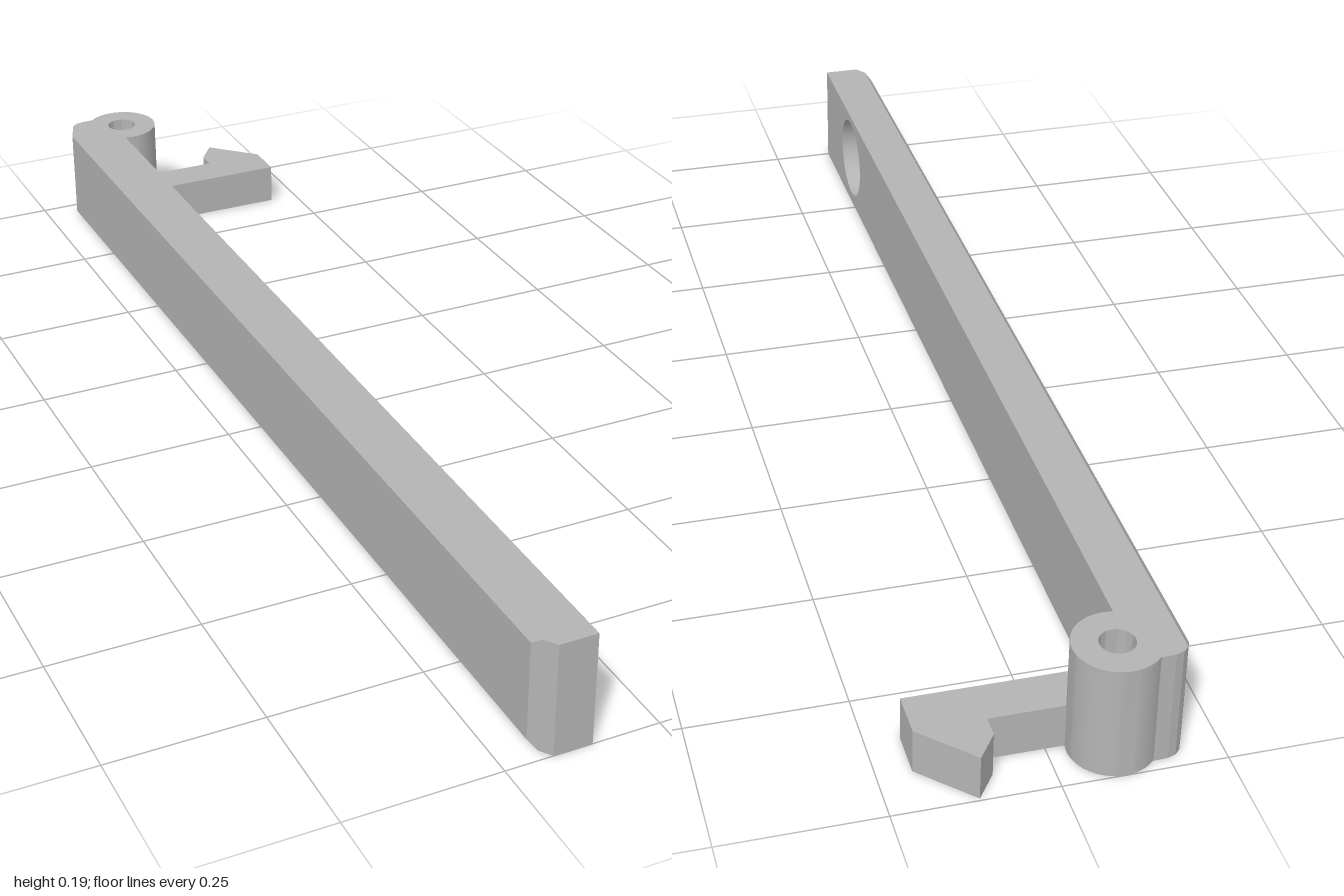
import * as THREE from 'three';
import { toCreasedNormals } from 'three/addons/utils/BufferGeometryUtils.js';

const H = 0.19, FACE_X = -0.11;
const BACK_Z = -0.87, FRONT_Z = 1;

// Shape from plan points [x, z]; sign -1 is seen from above, 1 from below
const planShape = (pts, sign = -1) =>
  new THREE.Shape(pts.map(([x, z]) => new THREE.Vector2(x, sign * z)));

// Extrude a plan shape upward from y = 0
const extrudeUp = (shape, height, curveSegments = 12) =>
  new THREE.ExtrudeGeometry(shape, { depth: height, bevelEnabled: false, curveSegments }).rotateX(-Math.PI / 2);

export function createModel() {
  const model = new THREE.Group();
  const grey = new THREE.MeshStandardMaterial({ color: 0xb4b4b4 });
  grey.name = 'plain grey';
  const add = (name, geometry, parent = model) => {
    const mesh = new THREE.Mesh(geometry, grey);
    mesh.name = name;
    parent.add(mesh);
    return mesh;
  };

  // Bar: outline at mid height, and one narrowed by the long-edge chamfers
  const bar = new THREE.Group();
  bar.name = 'bar';
  model.add(bar);
  const outline = [
    [FACE_X, FRONT_Z], [FACE_X, BACK_Z], [-0.14, -0.9], [-0.143, -0.981],
    [-0.165, -0.98], [-0.178, -0.976], [-0.187, -0.967], [-0.197, -0.945],
    [-0.197, 0.965], [-0.187, 0.98], [-0.173, FRONT_Z],
  ];
  const narrowed = outline.map((p, i) =>
    p[0] > -0.19 ? p : outline[p[1] < 0 ? i - 1 : i + 1]);
  const rings = [[0, narrowed], [0.012, outline], [H - 0.012, outline], [H, narrowed]];

  // Walls between the rings; the inner long face is made separately
  const pos = [];
  for (let r = 0; r < rings.length - 1; r++) {
    const [y0, lo] = rings[r], [y1, hi] = rings[r + 1];
    for (let i = 1; i < outline.length; i++) {
      const j = (i + 1) % outline.length;
      const a = [lo[i][0], y0, lo[i][1]], b = [lo[j][0], y0, lo[j][1]];
      const c = [hi[j][0], y1, hi[j][1]], d = [hi[i][0], y1, hi[i][1]];
      pos.push(...a, ...b, ...c, ...a, ...c, ...d);
    }
  }
  const walls = new THREE.BufferGeometry();
  walls.setAttribute('position', new THREE.Float32BufferAttribute(pos, 3));
  walls.computeVertexNormals();
  add('barWalls', walls, bar);

  // Top and bottom of the bar
  const cap = narrowed.filter((p, i) => p !== narrowed[(i + 1) % narrowed.length]);
  add('barTop', new THREE.ShapeGeometry(planShape(cap)).rotateX(-Math.PI / 2), bar).position.y = H;
  add('barBottom', new THREE.ShapeGeometry(planShape(cap, 1)).rotateX(Math.PI / 2), bar);

  // Inner long face with a round blind recess
  const holeZ = 0.78, holeY = 0.098, holeR = 0.078, depth = 0.058;
  const face = new THREE.Shape([
    new THREE.Vector2(-FRONT_Z, 0), new THREE.Vector2(-BACK_Z, 0),
    new THREE.Vector2(-BACK_Z, H), new THREE.Vector2(-FRONT_Z, H),
  ]);
  face.holes.push(new THREE.Path().absarc(-holeZ, holeY, holeR, 0, Math.PI * 2, true));
  add('barInnerFace', new THREE.ShapeGeometry(face, 24).rotateY(Math.PI / 2), bar).position.x = FACE_X;

  // Recess wall, scaled by -1 along its axis so that it faces inward
  const recess = new THREE.CylinderGeometry(holeR, holeR, depth, 48, 1, true).rotateZ(Math.PI / 2);
  const index = recess.index.array;
  for (let i = 0; i < index.length; i += 3) [index[i], index[i + 1]] = [index[i + 1], index[i]];
  const normal = recess.attributes.normal;
  for (let i = 0; i < normal.count; i++) {
    normal.setXYZ(i, -normal.getX(i), -normal.getY(i), -normal.getZ(i));
  }
  add('recessWall', recess, bar).position.set(FACE_X - depth / 2, holeY, holeZ);
  add('recessFloor', new THREE.CircleGeometry(holeR, 48).rotateY(Math.PI / 2), bar)
    .position.set(FACE_X - depth, holeY, holeZ);

  // Hinge barrel with a pin hole through it
  const ring = new THREE.Shape().absarc(0, 0, 0.067, 0, Math.PI * 2, false);
  ring.holes.push(new THREE.Path().absarc(0, 0, 0.027, 0, Math.PI * 2, true));
  add('hingeBarrel', toCreasedNormals(extrudeUp(ring, H, 24), 0.6)).position.set(-0.095, 0, -0.933);

  // Low arm ending in a pointed hook
  const arm = planShape([
    [-0.095, -0.847], [0.197, -0.847], [0.197, -0.919], [0.119, -0.996],
    [0.088, -0.953], [0.088, -0.919], [-0.055, -0.919], [-0.065, -0.9], [-0.095, -0.89],
  ]);
  add('hookArm', extrudeUp(arm, 0.075));

  return model;
}
